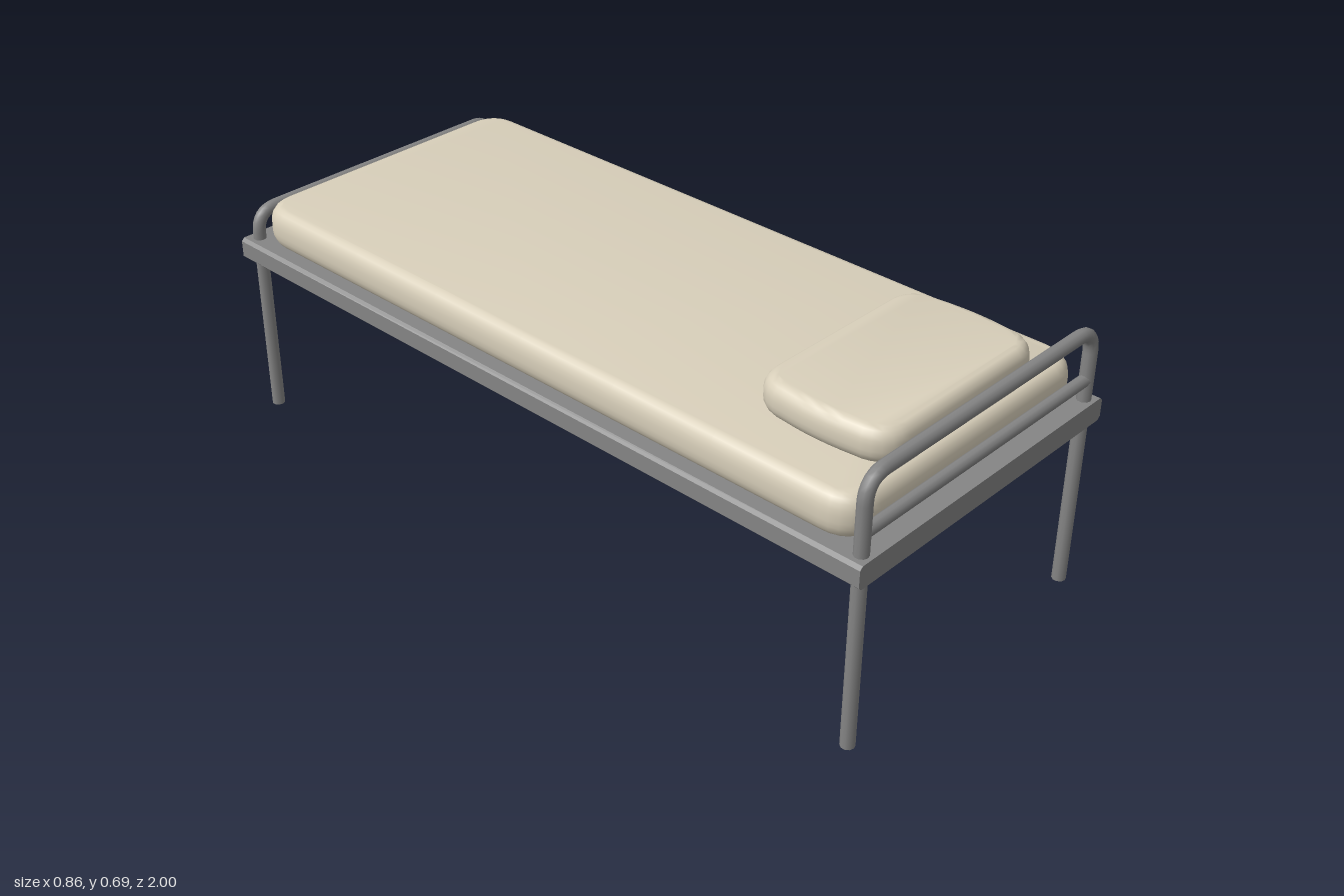
import * as THREE from 'three';
import { toCreasedNormals } from 'three/addons/utils/BufferGeometryUtils.js';

const metal = new THREE.MeshStandardMaterial({ name: 'grey metal', color: 0x858585 });
const fabric = new THREE.MeshStandardMaterial({ name: 'cream fabric', color: 0xd8cfba });

const POST_X = 0.396, TUBE_R = 0.017;

function add(parent, name, geometry, material, x = 0, y = 0, z = 0) {
  const mesh = new THREE.Mesh(geometry, material);
  mesh.name = name;
  mesh.position.set(x, y, z);
  parent.add(mesh);
  return mesh;
}

// Upholstered block lying flat: rounded outline, soft top and bottom edges
function cushion(width, height, length, corner, edgeIn, bulge) {
  const w = width / 2 - edgeIn, l = length / 2 - edgeIn, b = bulge;
  const s = new THREE.Shape();
  s.moveTo(-w + corner, -l);
  s.lineTo(w - corner, -l);
  s.quadraticCurveTo(w - b, -l, w - b, -l + corner);
  s.quadraticCurveTo(w + b, 0, w - b, l - corner);
  s.quadraticCurveTo(w - b, l, w - corner, l);
  s.lineTo(-w + corner, l);
  s.quadraticCurveTo(-w + b, l, -w + b, l - corner);
  s.quadraticCurveTo(-w - b, 0, -w + b, -l + corner);
  s.quadraticCurveTo(-w + b, -l, -w + corner, -l);
  const bevel = height * 0.42;
  const g = new THREE.ExtrudeGeometry(s, {
    depth: height - 2 * bevel, bevelThickness: bevel, bevelSize: edgeIn,
    bevelSegments: 5, curveSegments: 6,
  });
  g.translate(0, 0, bevel);
  g.rotateX(-Math.PI / 2);
  return toCreasedNormals(g, 0.8);
}

// Bent tube rising from one post, across and down the other
function archGeometry(bottom, top) {
  const r = 0.058, y = top - TUBE_R, x = POST_X;
  const v = (a, b) => new THREE.Vector3(a, b, 0);
  const path = new THREE.CurvePath();
  path.add(new THREE.LineCurve3(v(-x, bottom), v(-x, y - r)));
  path.add(new THREE.QuadraticBezierCurve3(v(-x, y - r), v(-x, y), v(-x + r, y)));
  path.add(new THREE.LineCurve3(v(-x + r, y), v(x - r, y)));
  path.add(new THREE.QuadraticBezierCurve3(v(x - r, y), v(x, y), v(x, y - r)));
  path.add(new THREE.LineCurve3(v(x, y - r), v(x, bottom)));
  return new THREE.TubeGeometry(path, 90, TUBE_R, 10);
}

export function createModel() {
  const bed = new THREE.Group();
  bed.name = 'bed';

  // Bed base: slab with lightly chamfered long edges
  const hw = 0.432, lo = 0.437, hi = 0.495, c = 0.008;
  const section = new THREE.Shape([
    [-hw + c, lo], [hw - c, lo], [hw, lo + c], [hw, hi - c],
    [hw - c, hi], [-hw + c, hi], [-hw, hi - c], [-hw, lo + c],
  ].map(([x, y]) => new THREE.Vector2(x, y)));
  add(bed, 'bedBase', new THREE.ExtrudeGeometry(section, { depth: 2, bevelEnabled: false }), metal, 0, 0, -1);

  // Legs
  for (const z of [0.974, -0.97]) {
    for (const side of [1, -1]) {
      add(bed, (side > 0 ? 'left' : 'right') + (z > 0 ? 'HeadLeg' : 'FootLeg'),
        new THREE.CylinderGeometry(TUBE_R, TUBE_R, 0.46, 10), metal, side * POST_X, 0.23, z);
    }
  }

  // Head and foot rails
  add(bed, 'headArch', archGeometry(0.46, 0.693), metal, 0, 0, 0.974);
  add(bed, 'footArch', archGeometry(0.46, 0.585), metal, 0, 0, -0.97);
  const bar = new THREE.CylinderGeometry(0.015, 0.015, 2 * POST_X, 10).rotateZ(Math.PI / 2);
  add(bed, 'headCrossbar', bar, metal, 0, 0.547, 0.974);

  // Bedding
  add(bed, 'mattress', cushion(0.81, 0.107, 1.91, 0.06, 0.03, 0), fabric, 0, 0.493, 0.002);
  add(bed, 'pillow', cushion(0.566, 0.087, 0.36, 0.06, 0.03, 0.006), fabric, 0, 0.598, 0.75);

  return bed;
}
